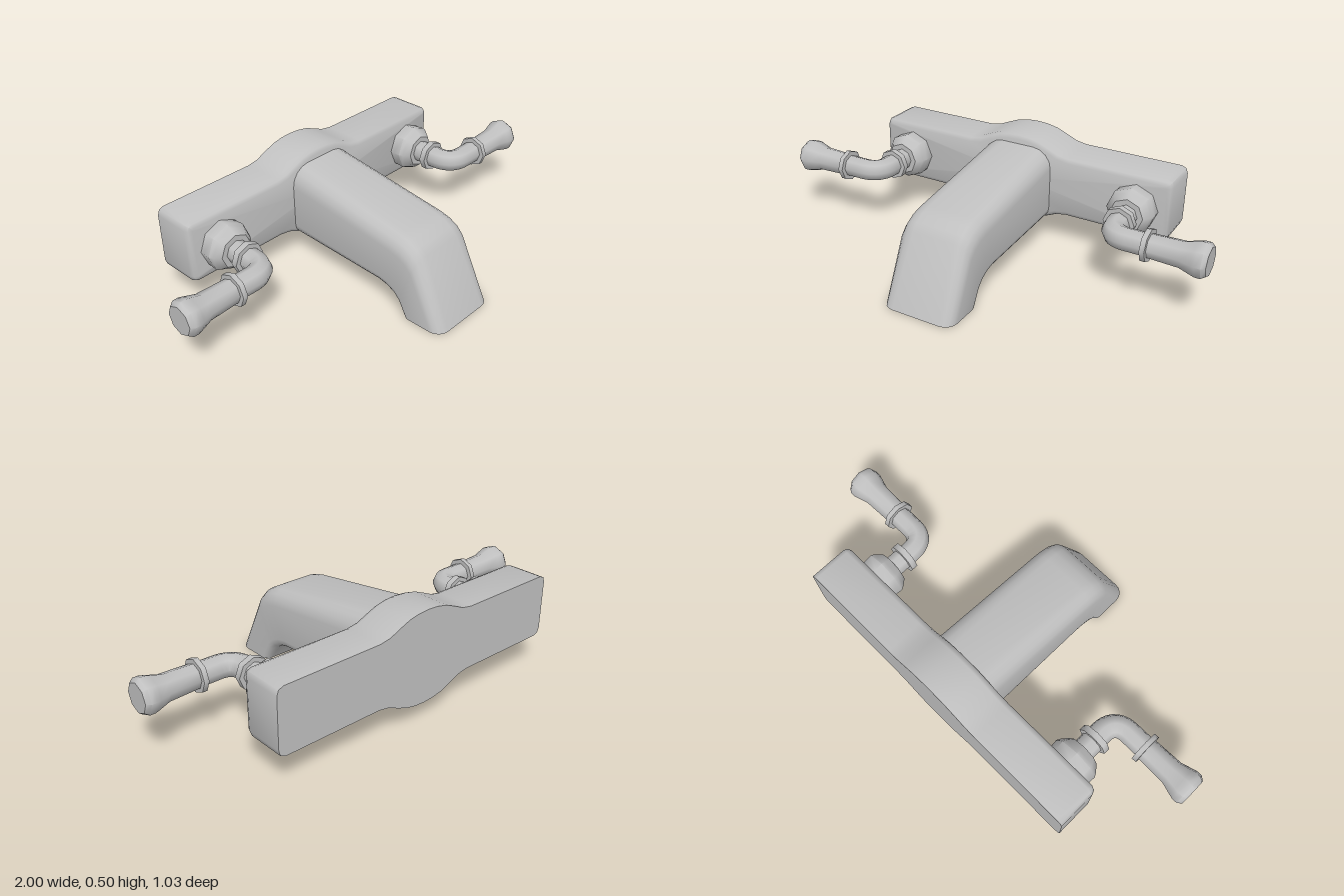
import * as THREE from 'three';
import { toCreasedNormals } from 'three/addons/utils/BufferGeometryUtils.js';

const metal = new THREE.MeshStandardMaterial({ color: 0xc0c0c0 });
metal.name = 'satin metal';

function part(name, geometry, crease = 0.85) {
  const mesh = new THREE.Mesh(toCreasedNormals(geometry, crease), metal);
  mesh.name = name;
  return mesh;
}

// Skin a list of closed rings (counter-clockwise seen from the far end) and cap both ends.
function loft(rings) {
  const n = rings[0].length, pos = [], idx = [];
  rings.forEach(r => r.forEach(p => pos.push(p.x, p.y, p.z)));
  for (let i = 0; i < rings.length - 1; i++) for (let j = 0; j < n; j++) {
    const k = (j + 1) % n, a = i * n + j, b = i * n + k;
    idx.push(a, b, b + n, a, b + n, a + n);
  }
  [rings[0], rings[rings.length - 1]].forEach((r, end) => {
    const c = new THREE.Vector3();
    r.forEach(p => c.addScaledVector(p, 1 / n));
    const ci = pos.length / 3, base = end ? (rings.length - 1) * n : 0;
    pos.push(c.x, c.y, c.z);
    for (let j = 0; j < n; j++) {
      const a = base + j, b = base + (j + 1) % n;
      if (end) idx.push(ci, a, b); else idx.push(ci, b, a);
    }
  });
  const g = new THREE.BufferGeometry();
  g.setAttribute('position', new THREE.Float32BufferAttribute(pos, 3));
  g.setIndex(idx);
  return g;
}

// Wall plate: bar with a central swell, rounded only along the front rim.
function backPlate() {
  const quarter = [[0.73, 0.11], [0.722, 0.133], [0.70, 0.1425], [0.25, 0.1425], [0.2, 0.151],
    [0.15, 0.173], [0.1, 0.193], [0.05, 0.203], [0, 0.206]];
  const half = [...quarter, ...quarter.slice(0, -1).reverse().map(([x, y]) => [-x, y])];
  const outline = [...half, ...half.map(([x, y]) => [-x, -y])];
  const n = outline.length;
  const ring = (z, inset) => outline.map(([x, y], i) => {
    const p = outline[(i + n - 1) % n], q = outline[(i + 1) % n];
    const d = new THREE.Vector2(q[0] - p[0], q[1] - p[1]).normalize();
    return new THREE.Vector3(x - d.y * inset, 0.294 + y + d.x * inset, z);
  });
  return part('backPlate', loft([ring(-0.515, 0), ring(-0.345, 0), ring(-0.328, 0.007), ring(-0.32, 0.024)]));
}

// Spout: rounded section carried along matching top and underside points [z, y].
function spout() {
  const top = [[-0.33, 0.457], [0.255, 0.367], [0.305, 0.354], [0.345, 0.332], [0.375, 0.3], [0.515, 0]];
  const under = [[-0.33, 0.123], [0.17, 0.11], [0.215, 0.1], [0.255, 0.08], [0.285, 0.05], [0.315, 0]];
  const w = 0.167;
  const rings = top.map((t, i) => {
    const u = under[i], h = Math.hypot(t[0] - u[0], t[1] - u[1]);
    const pts = [];
    // corner arcs: centre side, centre up, radius, start angle
    const rt = 0.27 * h, rb = 0.15 * h;
    [[1, h - rt, rt, 0], [-1, h - rt, rt, 1], [-1, rb, rb, 2], [1, rb, rb, 3]].forEach(([s, v, r, q]) => {
      for (let k = 0; k <= 4; k++) {
        const a = (q + k / 4) * Math.PI / 2;
        const f = (v + r * Math.sin(a)) / h;
        pts.push(new THREE.Vector3(s * (w - r) + r * Math.cos(a),
          u[1] + (t[1] - u[1]) * f, u[0] + (t[0] - u[0]) * f));
      }
    });
    return pts;
  });
  return part('spout', loft(rings));
}

// Eight-sided turned part; points are [radius, distance along axis].
const turned = points => new THREE.LatheGeometry(points.map(([r, d]) => new THREE.Vector2(r, d)), 8);

function handle(side) {
  const g = new THREE.Group();
  g.name = side > 0 ? 'leftHandle' : 'rightHandle';
  const X = 0.575, Y = 0.288, Z = -0.035;
  const alongZ = (name, pts) => {
    const m = part(name, turned(pts).rotateX(Math.PI / 2));
    m.position.set(side * X, Y, 0);
    g.add(m);
  };
  const alongX = (name, pts) => {
    const m = part(name, turned(pts).rotateZ(-side * Math.PI / 2));
    m.position.set(0, Y, Z);
    g.add(m);
  };
  alongZ('valveBell', [[0, -0.33], [0.105, -0.33], [0.105, -0.305], [0.108, -0.268], [0.098, -0.25], [0.075, -0.223], [0, -0.223]]);
  alongZ('stemRing', [[0, -0.17], [0.07, -0.17], [0.07, -0.142], [0, -0.142]]);

  // Elbow pipe from the bell out to the grip
  const v = (x, z) => new THREE.Vector3(side * x, Y, z);
  const path = new THREE.CurvePath();
  path.add(new THREE.LineCurve3(v(X, -0.23), v(X, -0.12)));
  path.add(new THREE.QuadraticBezierCurve3(v(X, -0.12), v(X, Z), v(0.66, Z)));
  path.add(new THREE.LineCurve3(v(0.66, Z), v(0.76, Z)));
  g.add(part('elbowPipe', new THREE.TubeGeometry(path, 24, 0.05, 8)));

  alongX('gripRing', [[0, 0.735], [0.071, 0.735], [0.071, 0.757], [0, 0.757]]);
  alongX('grip', [[0, 0.745], [0.052, 0.745], [0.057, 0.89], [0.072, 0.94], [0.077, 0.958], [0.077, 0.982], [0.063, 1], [0, 1]]);
  return g;
}

export function createModel() {
  const model = new THREE.Group();
  model.name = 'tap';
  model.add(backPlate(), spout(), handle(1), handle(-1));
  return model;
}
